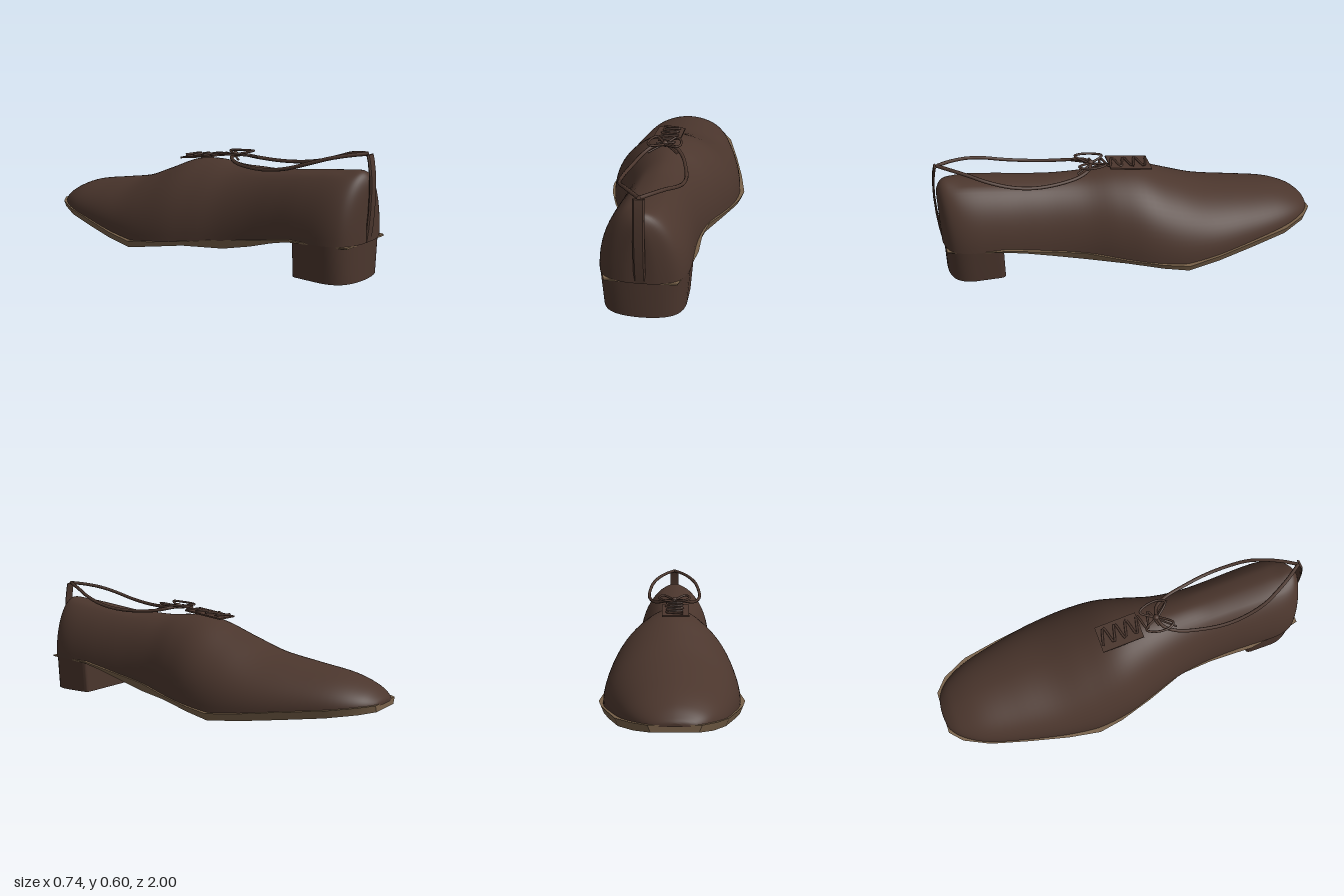
import * as THREE from 'three';
import { toCreasedNormals } from 'three/addons/utils/BufferGeometryUtils.js';

const brown = new THREE.MeshStandardMaterial({ color: 0x4b362d });
brown.name = 'dark brown leather';
const tan = new THREE.MeshStandardMaterial({ color: 0x786149 });
tan.name = 'tan sole leather';

// Skin between rings of [x, y, z] points, optionally closing rings and ends
function loft(rings, closed, capped) {
  const n = rings[0].length, idx = [];
  const last = rings.length - 1;
  for (let j = 0; j < last; j++) {
    for (let i = 0; i < (closed ? n : n - 1); i++) {
      const k = (i + 1) % n, a = j * n + i, b = j * n + k;
      idx.push(a, b, a + n, b, b + n, a + n);
    }
  }
  if (capped) {
    for (let i = 1; i < n - 1; i++) {
      idx.push(0, i + 1, i, last * n, last * n + i, last * n + i + 1);
    }
  }
  const g = new THREE.BufferGeometry();
  g.setAttribute('position', new THREE.Float32BufferAttribute(rings.flat(2), 3));
  g.setIndex(idx);
  g.computeVertexNormals();
  return g;
}

// Smooth interpolation through the rows of a table
function sample(rows, u) {
  const i = Math.min(Math.floor(u), rows.length - 2), t = u - i;
  const row = k => rows[Math.max(0, Math.min(rows.length - 1, k))];
  return rows[i].map((p1, c) => {
    const p0 = row(i - 1)[c], p2 = row(i + 1)[c], p3 = row(i + 2)[c];
    return p1 + 0.5 * t * (p2 - p0 + t * (2 * p0 - 5 * p1 + 4 * p2 - p3 + t * (3 * (p1 - p2) + p3 - p0)));
  });
}

// Upper: z, half width, bottom y, top y, centre x
const upperRows = [
  [-0.995, 0.03, 0.125, 0.14, -0.015],
  [-0.98, 0.10, 0.122, 0.16, -0.015],
  [-0.92, 0.17, 0.115, 0.205, -0.012],
  [-0.80, 0.235, 0.10, 0.25, -0.01],
  [-0.60, 0.29, 0.08, 0.285, -0.005],
  [-0.40, 0.33, 0.06, 0.323, -0.002],
  [-0.22, 0.345, 0.045, 0.39, -0.002],
  [-0.05, 0.325, 0.065, 0.455, -0.003],
  [0.10, 0.28, 0.085, 0.468, -0.005],
  [0.25, 0.23, 0.105, 0.458, -0.008],
  [0.40, 0.205, 0.125, 0.466, -0.01],
  [0.55, 0.20, 0.155, 0.482, -0.012],
  [0.70, 0.205, 0.18, 0.50, -0.015],
  [0.83, 0.205, 0.185, 0.515, -0.016],
  [0.91, 0.185, 0.187, 0.517, -0.016],
  [0.955, 0.145, 0.187, 0.505, -0.016],
  [0.98, 0.075, 0.187, 0.465, -0.016],
  [0.984, 0.02, 0.187, 0.42, -0.016],
];

function upperGeometry() {
  const rings = [], steps = 5, around = 36;
  for (let s = 0; s <= (upperRows.length - 1) * steps; s++) {
    const [z, w, yb, yt, cx] = sample(upperRows, s / steps);
    // Slight hollow along the collar
    const dip = 0.012 * THREE.MathUtils.smoothstep(z, 0.3, 0.5) * (1 - THREE.MathUtils.smoothstep(z, 0.85, 0.95));
    rings.push(Array.from({ length: around + 1 }, (_, i) => {
      const t = Math.PI * i / around;
      const c = Math.cos(t), x = Math.sign(c) * Math.abs(c) ** 1.08 * w;
      const hollow = dip * Math.max(0, 1 - (x / 0.08) ** 2);
      return [cx + x, yb + (yt - yb) * Math.abs(Math.sin(t)) ** 0.97 - hollow, z];
    }));
  }
  return loft(rings, false, true);
}

// Sole: z, right x, left x, bottom y, top y
const soleRows = [
  [-0.99, -0.13, 0.10, 0.10, 0.132],
  [-0.93, -0.195, 0.175, 0.092, 0.128],
  [-0.80, -0.255, 0.25, 0.075, 0.112],
  [-0.60, -0.305, 0.30, 0.05, 0.09],
  [-0.40, -0.348, 0.343, 0.026, 0.064],
  [-0.23, -0.372, 0.368, 0.011, 0.047],
  [-0.10, -0.352, 0.348, 0.034, 0.062],
  [0.08, -0.30, 0.295, 0.062, 0.085],
  [0.28, -0.23, 0.22, 0.066, 0.115],
  [0.45, -0.222, 0.202, 0.108, 0.14],
  [0.58, -0.23, 0.205, 0.15, 0.166],
  [0.68, -0.238, 0.208, 0.176, 0.186],
  [0.84, -0.212, 0.182, 0.18, 0.188],
  [0.968, -0.18, 0.148, 0.18, 0.188],
];

function soleGeometry() {
  const rings = soleRows.map(([z, r, l, yb, yt]) => {
    const inset = (yt - yb) * 0.4;
    return [[l - inset, yb, z], [l, yt, z], [r, yt, z], [r + inset, yb, z]];
  });
  return toCreasedNormals(loft(rings, true, true), 0.5);
}

// Heel block: flat front edge, rounded back, narrowing towards the floor
function heelGeometry() {
  const s = new THREE.Shape();
  s.moveTo(-0.18, 0.69);
  s.lineTo(0.18, 0.69);
  s.quadraticCurveTo(0.2, 0.69, 0.2, 0.72);
  s.lineTo(0.198, 0.84);
  s.bezierCurveTo(0.19, 0.94, 0.13, 0.972, 0, 0.975);
  s.bezierCurveTo(-0.13, 0.972, -0.19, 0.94, -0.198, 0.84);
  s.lineTo(-0.2, 0.72);
  s.quadraticCurveTo(-0.2, 0.69, -0.18, 0.69);
  const g = new THREE.ExtrudeGeometry(s, { depth: 0.181, bevelEnabled: false, curveSegments: 10 });
  g.rotateX(Math.PI / 2).translate(0, 0.187, 0);
  const p = g.attributes.position;
  for (let i = 0; i < p.count; i++) {
    p.setX(i, p.getX(i) * (0.95 + 0.4 * p.getY(i)) - 0.015);
  }
  return toCreasedNormals(g, 0.6);
}

// Narrow strap climbing the back seam
function strapGeometry() {
  const path = [[0.187, 0.978], [0.25, 0.986], [0.33, 0.992], [0.42, 0.994], [0.5, 0.99], [0.56, 0.981], [0.59, 0.973]];
  const rings = path.map(([y, z]) => [
    [-0.042, y, z], [-0.035, y, z + 0.006], [0.003, y, z + 0.006],
    [0.01, y, z], [0.01, y, z - 0.004], [-0.042, y, z - 0.004],
  ]);
  return toCreasedNormals(loft(rings, true, true), 0.6);
}

function cord(points, radius) {
  const curve = new THREE.CatmullRomCurve3(points.map(p => new THREE.Vector3(...p)));
  return new THREE.TubeGeometry(curve, points.length * 8, radius, 8);
}

export function createModel() {
  const shoe = new THREE.Group();
  shoe.name = 'shoe';
  const add = (name, geometry, material = brown) => {
    const mesh = new THREE.Mesh(geometry, material);
    mesh.name = name;
    shoe.add(mesh);
    return mesh;
  };

  add('upper', upperGeometry());
  add('sole', soleGeometry(), tan);
  add('heelBlock', heelGeometry());
  add('backStrap', strapGeometry());

  // Small nails under the heel
  for (const [x, z] of [[-0.145, 0.74], [-0.085, 0.9], [-0.015, 0.94], [0.05, 0.9], [0.11, 0.74], [-0.015, 0.74]]) {
    add('heelNail', new THREE.CylinderGeometry(0.005, 0.005, 0.01, 8).translate(x, 0.005, z));
  }

  // Long cord from the strap to the knot, one run on each side
  for (const side of [-1, 1]) {
    const run = [
      [0, 0.592, 0.965], [0.045, 0.583, 0.9], [0.09, 0.566, 0.82], [0.125, 0.54, 0.74],
      [0.144, 0.505, 0.63], [0.145, 0.484, 0.52], [0.127, 0.477, 0.4],
      [0.095, 0.484, 0.28], [0.055, 0.497, 0.22], [0, 0.502, 0.2],
    ].map(([x, y, z]) => [side * x - 0.015, y, z]);
    add(side < 0 ? 'rightCord' : 'leftCord', cord(run, 0.009));

    // Bow loop and loose end
    const bow = [
      [0, 0.502, 0.2], [0.05, 0.512, 0.13], [0.075, 0.514, 0.17], [0.08, 0.518, 0.24], [0.06, 0.522, 0.27], [0, 0.505, 0.21],
    ].map(([x, y, z]) => [side * x - 0.015, y, z]);
    add(side < 0 ? 'rightBow' : 'leftBow', cord(bow, 0.006));
    const end = [[0, 0.505, 0.2], [0.03, 0.498, 0.23], [0.075, 0.49, 0.285]]
      .map(([x, y, z]) => [side * x - 0.015, y, z]);
    add(side < 0 ? 'rightLaceEnd' : 'leftLaceEnd', cord(end, 0.005));
  }
  add('knot', new THREE.SphereGeometry(0.016, 12, 8).translate(-0.015, 0.505, 0.2));

  // Lace panel and zigzag lacing
  const panel = add('lacePanel', new THREE.BoxGeometry(0.14, 0.008, 0.22));
  panel.position.set(-0.02, 0.477, 0);
  panel.rotation.x = -0.14;
  const zigzag = Array.from({ length: 11 }, (_, i) => {
    const z = -0.1 + i * 0.03;
    return [i % 2 ? 0.03 : -0.06, 0.485 + 0.1 * z, z];
  });
  add('lacing', cord(zigzag, 0.006));

  return shoe;
}
